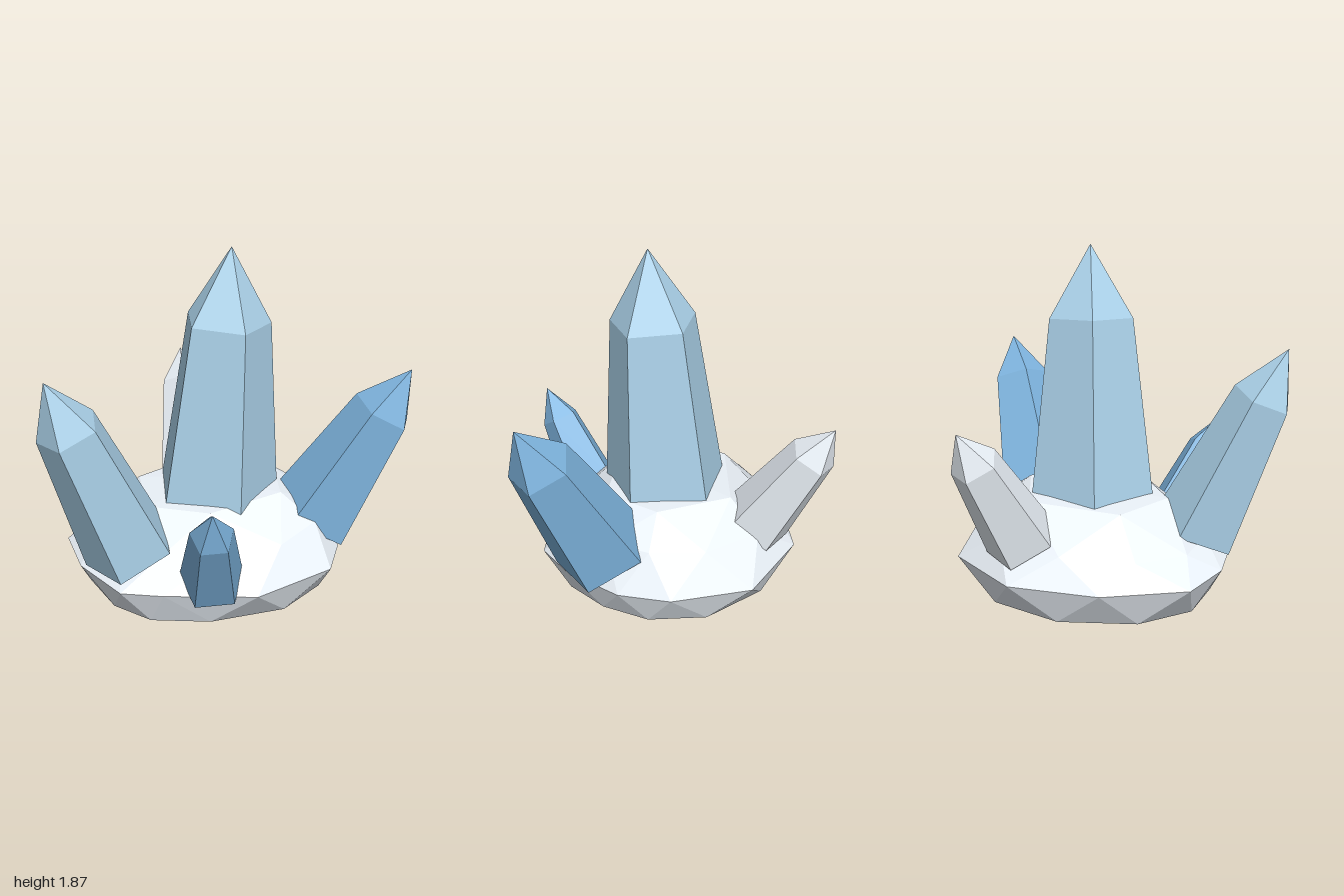
import * as THREE from 'three';

const tinted = (color) => new THREE.MeshStandardMaterial({ color, flatShading: true });

// Five-sided crystal from a base centre to its tip: tapering shaft, then a point.
function crystal(name, base, tip, baseR, shoulderR, shoulderAt, turn, material) {
  const from = new THREE.Vector3(...base);
  const axis = new THREE.Vector3(...tip).sub(from);
  const h = axis.length();
  const profile = [[0, 0], [baseR, 0], [shoulderR, h * shoulderAt], [0, h]]
    .map(([r, y]) => new THREE.Vector2(r, y));
  const geo = new THREE.LatheGeometry(profile, 5, THREE.MathUtils.degToRad(turn));
  const mesh = new THREE.Mesh(geo, material);
  mesh.name = name;
  mesh.position.copy(from);
  mesh.quaternion.setFromUnitVectors(new THREE.Vector3(0, 1, 0), axis.normalize());
  return mesh;
}

// Faceted rock with a flat underside, built from staggered rings.
function rock(material) {
  const rim = [
    [0, 0.73], [0.47, 0.61], [0.62, 0.40], [0.72, 0.08], [0.69, -0.2], [0.47, -0.58],
    [0, -0.71], [-0.45, -0.53], [-0.78, -0.2], [-0.78, 0.12], [-0.65, 0.46], [-0.45, 0.56],
  ];
  const n = rim.length;
  // Ring through the rim's edge midpoints; lean raises it towards +x
  const midRing = (scale, y, lean) => rim.map(([x, z], i) => {
    const [x2, z2] = rim[(i + 1) % n];
    const mx = (x + x2) / 2 * scale;
    return [mx, y + lean * mx, (z + z2) / 2 * scale];
  });
  const equator = rim.map(([x, z]) => [x, 0.2, z]);
  const foot = midRing(0.89, 0, 0);
  const upper = midRing(0.84, 0.36, 0.08);
  const crown = midRing(0.57, 0.525, 0.03).filter((_, i) => i % 2 === 1);

  const pos = [];
  const tri = (a, b, c) => pos.push(...a, ...b, ...c);
  for (let i = 0; i < n; i++) {
    const k = (i + 1) % n;
    tri([0, 0, 0], foot[k], foot[i]);
    tri(equator[i], foot[i], equator[k]);
    tri(foot[i], foot[k], equator[k]);
    tri(equator[i], equator[k], upper[i]);
    tri(upper[i], equator[k], upper[k]);
  }
  for (let j = 0; j < crown.length; j++) {
    const a = upper[2 * j], b = upper[2 * j + 1], c = upper[(2 * j + 2) % n];
    const next = crown[(j + 1) % crown.length];
    tri(a, b, crown[j]);
    tri(b, c, crown[j]);
    tri(crown[j], c, next);
    tri(crown[j], next, [0, 0.54, 0]);
  }
  const geo = new THREE.BufferGeometry();
  geo.setAttribute('position', new THREE.Float32BufferAttribute(pos, 3));
  geo.computeVertexNormals();
  const mesh = new THREE.Mesh(geo, material);
  mesh.name = 'rockBase';
  return mesh;
}

export function createModel() {
  const group = new THREE.Group();
  group.name = 'crystalCluster';
  const white = tinted(0xebf2f9);
  const pale = tinted(0xadd4ec);
  const blue = tinted(0x7eb4de);
  group.add(
    rock(white),
    crystal('mainCrystal', [0.01, 0.3, 0.03], [0.08, 1.865, 0.11], 0.375, 0.237, 0.75, 3, pale),
    crystal('rightCrystal', [-0.54, 0.34, 0.27], [-0.96, 1.365, 0.41], 0.25, 0.165, 0.74, 42, pale),
    crystal('leftCrystal', [0.54, 0.34, 0.23], [0.96, 1.225, 0.47], 0.265, 0.17, 0.73, 18, blue),
    crystal('frontCrystal', [-0.195, 0.25, 0.58], [-0.31, 0.805, 0.9], 0.172, 0.112, 0.7, 22, blue),
    crystal('backCrystal', [0.075, 0.365, -0.5], [0.13, 1.025, -0.9], 0.2, 0.13, 0.73, 54, white),
  );
  return group;
}
